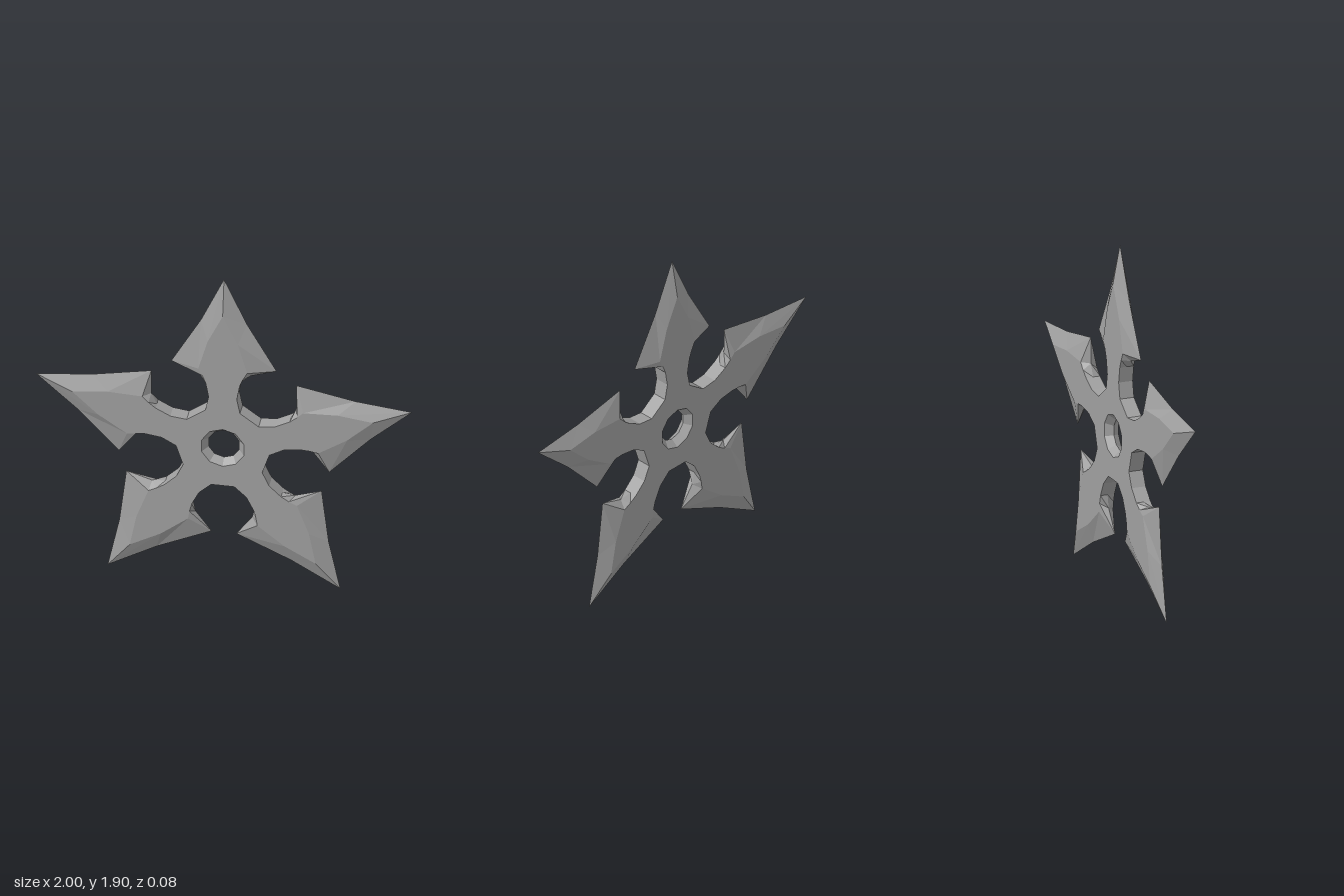
import * as THREE from 'three';

const HALF = 0.04; // half thickness
const CENTRE = 0.851;

// Right half of one arm, from tip to valley: [edge x, edge y, flat x, flat y]
const ARM = [
  [0, 1.0515, 0, 0.84],
  [0.123, 0.777, 0.08, 0.67],
  [0.28, 0.497, 0.13, 0.492],
  [0.143, 0.452, 0.108, 0.45],
  [0.09, 0.404, 0.09, 0.404],
  [0.075, 0.317, 0.075, 0.317],
  [0.092, 0.231, 0.092, 0.231],
];

// Clockwise loop of five mirrored arms
function starLoop(k) {
  const left = ARM.slice(1).reverse().map((p) => [-p[k], p[k + 1]]);
  const arm = [...left, ...ARM.map((p) => [p[k], p[k + 1]])];
  const loop = [];
  for (let i = 0; i < 5; i++) {
    const turn = -i * Math.PI * 2 / 5;
    for (const [x, y] of arm) {
      loop.push(new THREE.Vector2(x, y).rotateAround(new THREE.Vector2(), turn));
    }
  }
  return loop;
}

// Counter-clockwise ten-sided ring
function ring(r) {
  return Array.from({ length: 10 }, (_, i) => {
    const a = Math.PI / 2 + i * Math.PI / 5;
    return new THREE.Vector2(r * Math.cos(a), r * Math.sin(a));
  });
}

// Sloped faces from the flat loop down to the middle plane
function bevel(flat, edge) {
  const pos = [];
  const put = (p, z) => pos.push(p.x, p.y, z);
  flat.forEach((a, i) => {
    const j = (i + 1) % flat.length;
    put(a, HALF); put(flat[j], HALF); put(edge[j], 0);
    put(a, HALF); put(edge[j], 0); put(edge[i], 0);
  });
  const g = new THREE.BufferGeometry();
  g.setAttribute('position', new THREE.Float32BufferAttribute(pos, 3));
  g.computeVertexNormals();
  return g;
}

export function createModel() {
  const steel = new THREE.MeshStandardMaterial({ color: 0xa0a0a0 });
  steel.name = 'steel';
  const flat = starLoop(2);
  const hole = ring(0.118);

  // Flat face with the centre hole
  const shape = new THREE.Shape(flat);
  shape.holes.push(new THREE.Path(hole));
  const face = new THREE.ShapeGeometry(shape).translate(0, 0, HALF);

  const parts = {
    flatFace: face,
    bladeBevels: bevel(flat, starLoop(0)),
    holeBevel: bevel(hole, ring(0.085)),
  };

  // Front and back halves meet at the cutting edge
  const model = new THREE.Group();
  model.name = 'throwingStar';
  for (const side of ['front', 'back']) {
    const half = new THREE.Group();
    half.name = side + 'Half';
    for (const [name, geometry] of Object.entries(parts)) {
      const mesh = new THREE.Mesh(geometry, steel);
      mesh.name = name;
      half.add(mesh);
    }
    if (side === 'back') half.rotation.y = Math.PI;
    half.position.y = CENTRE;
    model.add(half);
  }
  return model;
}
